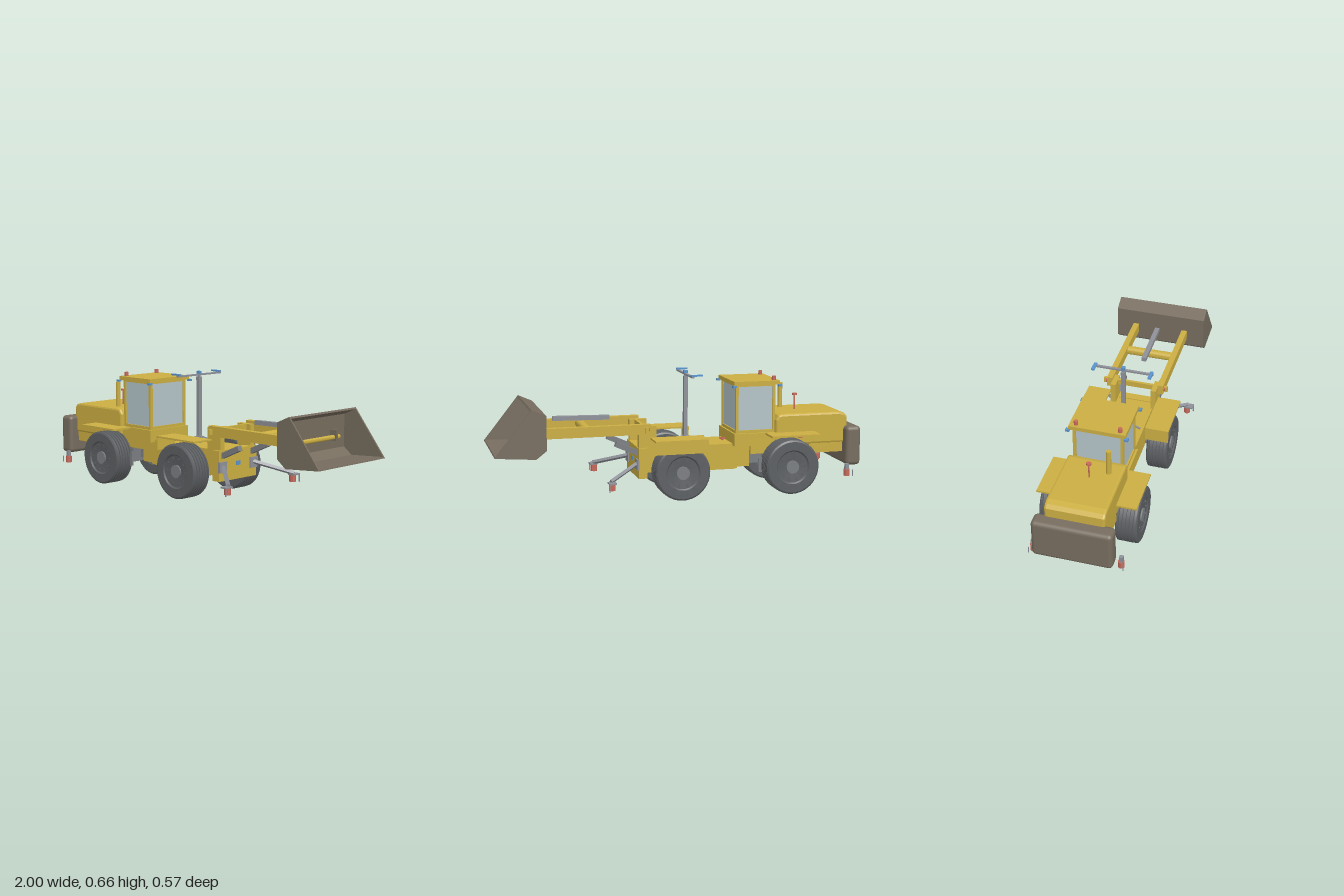
import * as THREE from 'three';
import { toCreasedNormals } from 'three/addons/utils/BufferGeometryUtils.js';
import { RoundedBoxGeometry } from 'three/addons/geometries/RoundedBoxGeometry.js';

const paint = (name, color) => Object.assign(new THREE.MeshStandardMaterial({ color }), { name });

export function createModel() {
  const root = new THREE.Group();
  root.name = 'bucketTractor';
  const yellow = paint('yellow paint', 0xcbae42);
  const brown = paint('worn steel', 0x776d5f);
  const tyreGrey = paint('tyre rubber', 0x5c5f62);
  const grey = paint('grey metal', 0x8e9198);
  const hubGrey = paint('hub metal', 0x7b7e82);
  const red = paint('red fittings', 0xc86a5c);
  const blue = paint('blue lamps', 0x5a93cc);
  const glass = paint('glass', 0xb4c5c9);

  const add = (name, geo, mat) => {
    const m = new THREE.Mesh(geo, mat);
    m.name = name;
    root.add(m);
    return m;
  };
  // Box given by its limits on each axis
  const box = (name, mat, [x0, x1], [y0, y1], [z0, z1]) => {
    const m = add(name, new THREE.BoxGeometry(x1 - x0, y1 - y0, Math.abs(z1 - z0)), mat);
    m.position.set((x0 + x1) / 2, (y0 + y1) / 2, (z0 + z1) / 2);
    return m;
  };
  // Bar between two points, round or square
  const bar = (name, mat, a, b, r, sides = 16) => {
    const p = new THREE.Vector3(...a), q = new THREE.Vector3(...b);
    const geo = new THREE.CylinderGeometry(r, r, p.distanceTo(q), sides);
    if (sides === 4) geo.rotateY(Math.PI / 4);
    const m = add(name, toCreasedNormals(geo, 0.6), mat);
    m.position.copy(p).add(q).multiplyScalar(0.5);
    m.quaternion.setFromUnitVectors(new THREE.Vector3(0, 1, 0), q.sub(p).normalize());
  };
  // Side profile pushed out across the width
  const profile = (name, mat, pts, z0, z1, bevel = 0) => {
    const shape = new THREE.Shape(pts.map(([x, y]) => new THREE.Vector2(x, y)));
    const geo = new THREE.ExtrudeGeometry(shape, {
      depth: z1 - z0 - 2 * bevel, bevelEnabled: bevel > 0,
      bevelSize: bevel, bevelOffset: -bevel, bevelThickness: bevel, bevelSegments: 2,
    });
    geo.translate(0, 0, z0 + bevel);
    add(name, geo, mat);
  };

  // Ribbed tyres, hubs and axles
  const tread = [[0.035, -0.045], [0.085, -0.05], [0.092, -0.057], [0.138, -0.057], [0.147, -0.051]];
  for (let i = 0; i < 5; i++) {
    const y = -0.038 + i * 0.019;
    tread.push([0.148, y - 0.003], [0.141, y - 0.002], [0.141, y + 0.002], [0.148, y + 0.003]);
  }
  tread.push([0.147, 0.051], [0.138, 0.057], [0.092, 0.057], [0.085, 0.05], [0.035, 0.045]);
  const tyreGeo = toCreasedNormals(
    new THREE.LatheGeometry(tread.map(([r, y]) => new THREE.Vector2(r, y)), 40).rotateX(Math.PI / 2), 0.5);
  for (const x of [-0.59, 0.018]) {
    bar('axle', hubGrey, [x, 0.148, -0.16], [x, 0.148, 0.16], 0.03);
    box('axleHousing', hubGrey, [x - 0.045, x + 0.045], [0.105, 0.195], [-0.05, 0.05]);
    for (const s of [-1, 1]) {
      add('tyre', tyreGeo, tyreGrey).position.set(x, 0.148, s * 0.2);
      bar('hub', hubGrey, [x, 0.148, s * 0.15], [x, 0.148, s * 0.254], 0.036, 12);
      for (let i = 0; i < 10; i++) {
        const a = i * Math.PI / 5, bx = x + 0.07 * Math.cos(a), by = 0.148 + 0.07 * Math.sin(a);
        bar('wheelBolt', tyreGrey, [bx, by, s * 0.24], [bx, by, s * 0.253], 0.005, 6);
      }
    }
  }

  // Rear body: counterweight, bonnet, frame and cab base
  const weight = add('counterweight', new RoundedBoxGeometry(0.085, 0.215, 0.414, 3, 0.022), brown);
  weight.position.set(-0.9575, 0.2375, 0);
  profile('bonnet', yellow, [[-0.525, 0.25], [-0.525, 0.39], [-0.54, 0.415], [-0.56, 0.421],
    [-0.89, 0.421], [-0.92, 0.413], [-0.937, 0.395], [-0.937, 0.25]], -0.155, 0.155, 0.012);
  box('rearFrame', yellow, [-0.912, -0.72], [0.2, 0.26], [-0.15, 0.15]);
  box('rearBelly', yellow, [-0.72, -0.4], [0.2, 0.27], [-0.1, 0.1]);
  box('cabBase', yellow, [-0.535, -0.295], [0.255, 0.322], [-0.145, 0.145]);
  box('articulationJoint', hubGrey, [-0.48, -0.38], [0.14, 0.2], [-0.05, 0.05]);

  // Cab with posts, panes and roof
  box('cabSill', yellow, [-0.527, -0.305], [0.32, 0.338], [-0.133, 0.133]);
  box('cabGlass', glass, [-0.52, -0.312], [0.335, 0.576], [-0.125, 0.125]);
  box('cabHeader', yellow, [-0.527, -0.305], [0.575, 0.586], [-0.133, 0.133]);
  for (const s of [-1, 1]) {
    for (const x of [-0.527, -0.32]) {
      box('cabPost', yellow, [x, x + 0.015], [0.33, 0.585], [s * 0.1245 - 0.0085, s * 0.1245 + 0.0085]);
    }
    for (const x of [-0.545, -0.29]) {
      box('cabLamp', blue, [x - 0.01, x + 0.01], [0.574, 0.585], [s * 0.152 - 0.01, s * 0.152 + 0.01]);
    }
    bar('beacon', red, [-0.523, 0.6, s * 0.114], [-0.523, 0.627, s * 0.114], 0.011);
    box('sideMarker', red, [-0.675, -0.655], [0.287, 0.306], [s * 0.155 - 0.008, s * 0.155 + 0.008]);
  }
  box('cabRoof', yellow, [-0.547, -0.292], [0.583, 0.605], [-0.148, 0.148]);

  // Exhaust and filler on the bonnet
  bar('exhaust', yellow, [-0.63, 0.41, 0.085], [-0.63, 0.56, 0.085], 0.013);
  bar('fillerStem', red, [-0.685, 0.41, 0], [-0.685, 0.505, 0], 0.004, 8);
  bar('fillerCap', red, [-0.685, 0.5, 0], [-0.685, 0.51, 0], 0.013);

  // Front chassis and upright plate
  box('frontFrameTail', yellow, [-0.39, -0.315], [0.137, 0.255], [-0.11, 0.11]);
  box('frontChassis', yellow, [-0.32, 0.19], [0.13, 0.265], [-0.11, 0.11]);
  box('chassisSkid', yellow, [-0.32, 0.15], [0.12, 0.135], [-0.085, 0.085]);
  box('frontPlate', yellow, [0.185, 0.232], [0.106, 0.27], [-0.143, 0.143]);
  box('towerTie', yellow, [0.185, 0.2], [0.355, 0.385], [-0.18, 0.18]);
  box('frontSocket', blue, [0.23, 0.236], [0.18, 0.203], [-0.014, 0.014]);
  for (const [x, z] of [[-0.27, 0], [-0.175, 0.085]]) {
    bar('valveStem', red, [x, 0.26, z], [x, 0.282, z], 0.006, 8);
    box('valveHandle', red, [x - 0.013, x + 0.013], [0.272, 0.281], [z - 0.009, z + 0.009]);
  }

  for (const s of [-1, 1]) {
    // Mudguards
    box('rearMudguard', yellow, [-0.745, -0.47], [0.312, 0.322], [s * 0.13, s * 0.26]);
    box('frontMudguard', yellow, [-0.117, 0.167], [0.316, 0.325], [s * 0.135, s * 0.262]);
    box('mudguardFlap', yellow, [-0.117, -0.11], [0.25, 0.32], [s * 0.135, s * 0.262]);
    if (s < 0) box('mudguardSkirt', yellow, [-0.117, 0.167], [0.252, 0.32], [-0.262, -0.258]);
    box('cabStep', hubGrey, [-0.445, -0.425], [0.112, 0.19], [s * 0.155, s * 0.165]);

    // Lift arms, towers and pivots
    box('armTower', yellow, [0.132, 0.2], [0.255, 0.385], [s * 0.1, s * 0.128]);
    box('armPost', yellow, [0.185, 0.228], [0.26, 0.385], [s * 0.1, s * 0.128]);
    box('liftArm', yellow, [0.17, 0.74], [0.346, 0.4], [s * 0.128, s * 0.16]);
    bar('armPivot', red, [0.187, 0.373, s * 0.12], [0.187, 0.373, s * 0.167], 0.011);
    bar('liftCylinder', hubGrey, [0.215, 0.235, s * 0.11], [0.35, 0.295, s * 0.11], 0.02, 4);

    // Front stabilisers
    box('stabiliserBracket', grey, [0.228, 0.24], [0.152, 0.21], [s * 0.09, s * 0.146]);
    bar('stabiliserLeg', grey, [0.235, 0.185, s * 0.115], [0.405, 0.125, s * 0.252], 0.012, 4);
    bar('stabiliserFoot', red, [0.398, 0.078, s * 0.25], [0.398, 0.115, s * 0.25], 0.018, 8);
    box('footCap', grey, [0.38, 0.42], [0.114, 0.122], [s * 0.235, s * 0.285]);
    box('footHook', grey, [0.414, 0.42], [0.075, 0.12], [s * 0.28, s * 0.285]);

    // Rear stabilisers
    bar('rearStabiliserFoot', red, [-0.91, 0.08, s * 0.228], [-0.91, 0.116, s * 0.228], 0.017, 8);
    bar('rearStabiliserRod', grey, [-0.91, 0.116, s * 0.228], [-0.91, 0.147, s * 0.228], 0.014, 4);
    box('rearFootHook', grey, [-0.94, -0.936], [0.08, 0.115], [s * 0.243, s * 0.247]);
  }
  bar('armCrossTube', yellow, [0.498, 0.372, -0.13], [0.498, 0.372, 0.13], 0.024);
  const link = box('tiltLink', grey, [0.36, 0.665], [0.412, 0.435], [-0.013, 0.013]);
  link.rotation.z = 0.02;

  // Bucket: bent shell with end plates
  const outer = [[0.81, 0.518], [0.735, 0.485], [0.735, 0.305], [0.79, 0.262], [1, 0.278]];
  const inner = [[0.998, 0.285], [0.795, 0.272], [0.745, 0.31], [0.745, 0.479], [0.815, 0.509]];
  profile('bucketShell', brown, [...outer, ...inner], -0.25, 0.25);
  for (const z of [-0.257, 0.248]) profile('bucketSide', brown, outer, z, z + 0.009);
  bar('bucketPin', yellow, [0.765, 0.372, -0.18], [0.765, 0.372, 0.18], 0.012);
  for (const s of [-1, 1]) {
    box('pinBracket', brown, [0.74, 0.785], [0.353, 0.41], [s * 0.135, s * 0.149]);
  }

  // Lamp mast on spread feet
  box('mast', grey, [-0.071, -0.049], [0.265, 0.628], [-0.011, 0.011]);
  box('mastHead', grey, [-0.065, -0.055], [0.62, 0.645], [-0.006, 0.006]);
  box('mastBar', grey, [-0.067, -0.053], [0.634, 0.643], [-0.162, 0.162]);
  for (const [dx, dz] of [[0.095, 0], [-0.095, 0], [0, 0.095], [0, -0.095]]) {
    bar('mastFoot', grey, [-0.06, 0.305, 0], [-0.06 + dx, 0.268, dz], 0.006, 4);
  }
  for (const z of [-0.152, 0, 0.152]) {
    const x0 = z ? -0.112 : -0.072;
    box('mastLamp', blue, [x0, -0.05], z ? [0.643, 0.651] : [0.643, 0.658], [z - 0.009, z + 0.009]);
  }
  return root;
}
